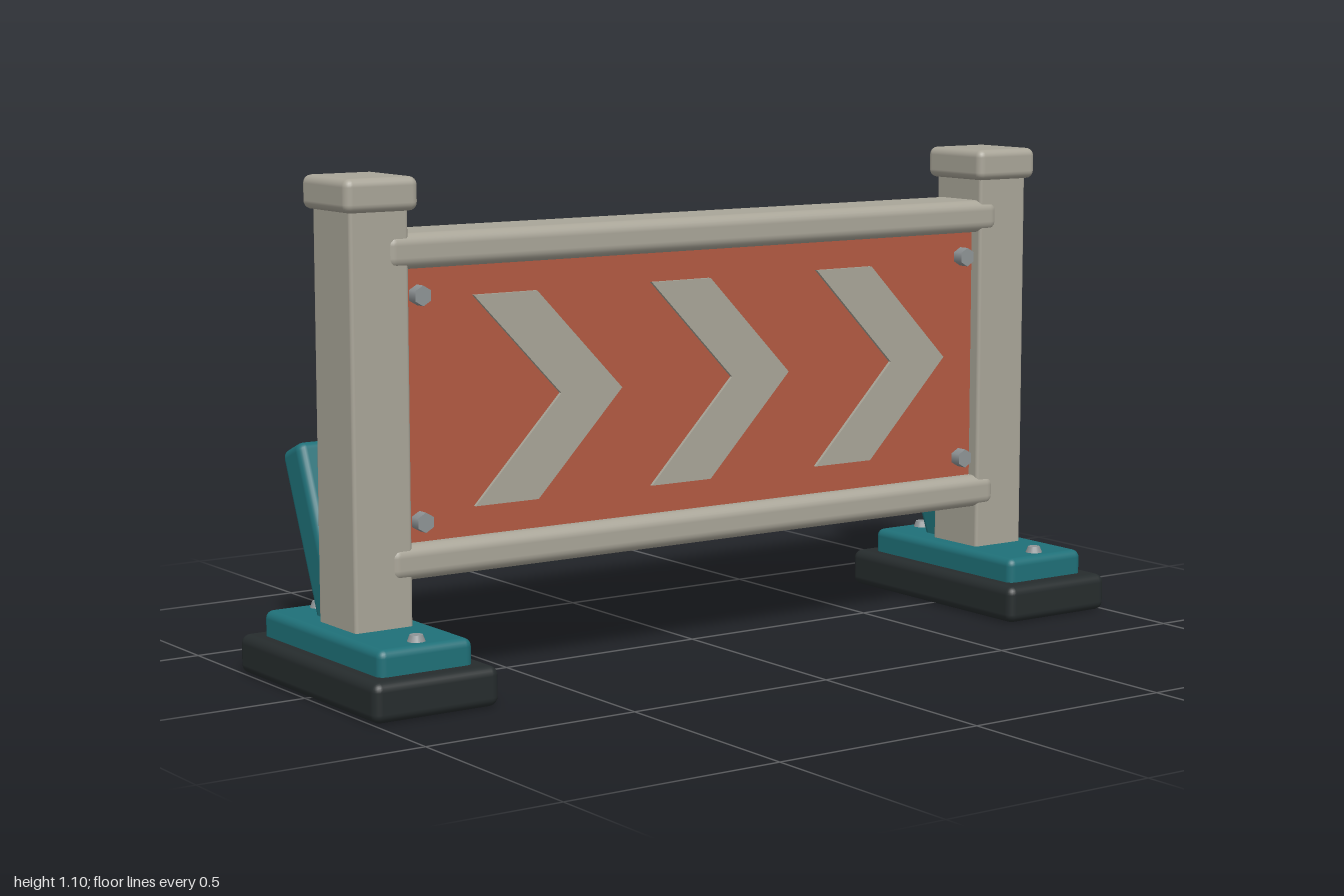
import * as THREE from 'three';
import { RoundedBoxGeometry } from 'three/addons/geometries/RoundedBoxGeometry.js';

const mat = (color) => new THREE.MeshStandardMaterial({ color });

export function createModel() {
  const root = new THREE.Group();
  root.name = 'barrier';
  const stone = mat(0xa9a598), orange = mat(0xb25a42), teal = mat(0x1f7078);
  const rubber = mat(0x262c2d), steel = mat(0x8f9496);

  const add = (parent, name, geometry, material, x, y, z) => {
    const mesh = new THREE.Mesh(geometry, material);
    mesh.name = name;
    mesh.position.set(x, y, z);
    parent.add(mesh);
    return mesh;
  };
  const rounded = (w, h, d, r) => new RoundedBoxGeometry(w, h, d, 3, r);

  // Posts with their feet, one at each end
  for (const [side, s] of [['left', 1], ['right', -1]]) {
    const end = new THREE.Group();
    end.name = side + 'Post';
    end.position.x = s * 0.85;
    root.add(end);
    add(end, 'rubberFoot', rounded(0.3, 0.086, 0.6, 0.02), rubber, 0, 0.043, 0);
    add(end, 'basePlate', rounded(0.225, 0.08, 0.51, 0.018), teal, 0, 0.102, 0);
    add(end, 'post', rounded(0.14, 0.92, 0.16, 0.008), stone, 0, 0.58, 0);
    add(end, 'postCap', rounded(0.175, 0.072, 0.196, 0.018), stone, 0, 1.06, 0);
    // Slanted lever behind the post
    const lever = add(end, 'lever', rounded(0.09, 0.43, 0.09, 0.02), teal, 0, 0.297, -0.166);
    lever.rotation.x = -0.4;
    // Domed bolts in front of and behind the post
    for (const z of [0.21, -0.21]) {
      const bolt = new THREE.CylinderGeometry(0.014, 0.022, 0.02, 16);
      add(end, 'baseBolt', bolt, steel, 0, 0.146, z);
    }
  }

  // Upper and lower rails
  for (const [name, y] of [['upperRail', 0.938], ['lowerRail', 0.277]]) {
    add(root, name, rounded(1.67, 0.076, 0.17, 0.025), stone, 0, y, 0);
  }

  // Panel between the rails
  add(root, 'panel', new THREE.BoxGeometry(1.58, 0.62, 0.1), orange, 0, 0.607, 0);

  // Arrow chevrons, thick enough to show on both faces
  const chevron = new THREE.Shape([
    [-0.19, 0.228], [-0.19 + 0.22, 0], [-0.19, -0.228],
    [-0.03, -0.228], [0.19, 0], [-0.03, 0.228],
  ].map(([x, y]) => new THREE.Vector2(x, y)));
  const chevronGeometry = new THREE.ExtrudeGeometry(chevron, { depth: 0.116, bevelEnabled: false });
  for (const x of [-0.42, 0.04, 0.5]) {
    add(root, 'chevron', chevronGeometry, stone, x, 0.607, -0.058);
  }

  // Hexagonal bolts in the front corners of the panel
  const hex = new THREE.CylinderGeometry(0.022, 0.022, 0.03, 6).toNonIndexed();
  hex.rotateX(Math.PI / 2);
  for (const x of [-0.745, 0.745]) {
    for (const y of [0.36, 0.843]) add(root, 'panelBolt', hex, steel, x, y, 0.062);
  }

  return root;
}
